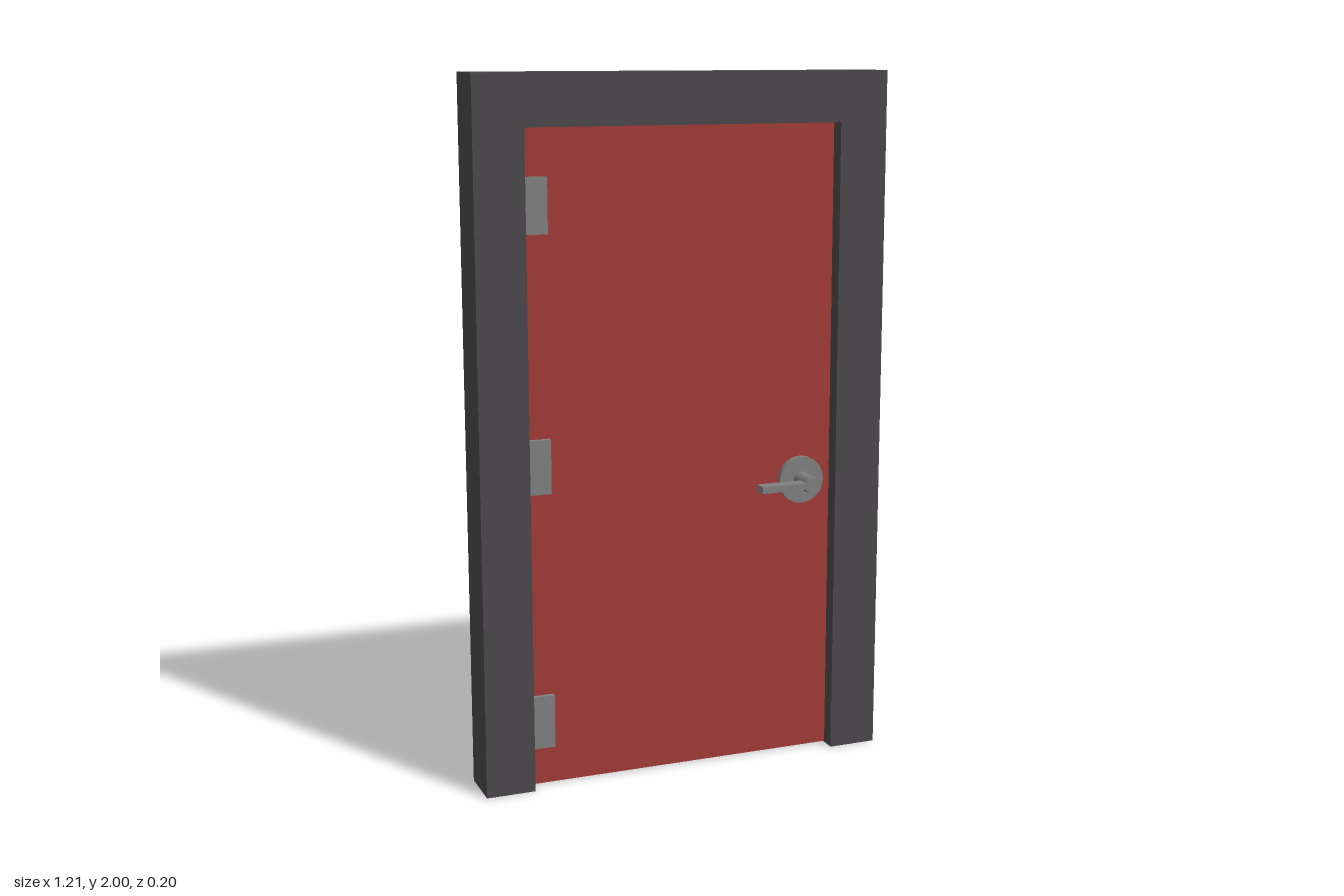
import * as THREE from 'three';

export function createModel() {
  const model = new THREE.Group();
  model.name = 'door';
  const frameMat = new THREE.MeshStandardMaterial({ color: 0x4a484a });
  const doorMat = new THREE.MeshStandardMaterial({ color: 0xa03a36 });
  const metalMat = new THREE.MeshStandardMaterial({ color: 0x808080 });

  const add = (name, geometry, material, x, y, z, parent = model) => {
    const mesh = new THREE.Mesh(geometry, material);
    mesh.name = name;
    mesh.position.set(x, y, z);
    parent.add(mesh);
    return mesh;
  };

  // Frame: one upside-down U, open at the floor
  const outline = new THREE.Shape([
    [-0.605, 0], [-0.463, 0], [-0.463, 1.857], [0.463, 1.857],
    [0.463, 0], [0.605, 0], [0.605, 2], [-0.605, 2],
  ].map(([x, y]) => new THREE.Vector2(x, y)));
  add('frame', new THREE.ExtrudeGeometry(outline, { depth: 0.142, bevelEnabled: false }),
    frameMat, 0, 0, -0.1);

  // Door leaf, set back from both faces of the frame
  add('doorPanel', new THREE.BoxGeometry(0.926, 1.854, 0.055), doorMat, 0, 0.93, -0.03);

  // Hinge plates
  for (const y of [0.19, 0.93, 1.648]) {
    add('hinge', new THREE.BoxGeometry(0.07, 0.154, 0.02), metalMat, -0.428, y, 0.002);
  }

  // Lever handle: round rose, spindle and flat lever
  const handle = new THREE.Group();
  handle.name = 'handle';
  handle.position.set(0.368, 0.828, 0);
  model.add(handle);
  const disc = (name, radius, z0, z1) => {
    const geometry = new THREE.CylinderGeometry(radius, radius, z1 - z0, 32).rotateX(Math.PI / 2);
    add(name, geometry, metalMat, 0, 0, (z0 + z1) / 2, handle);
  };
  disc('rose', 0.069, -0.01, 0.014);
  disc('spindle', 0.025, 0, 0.096);
  add('lever', new THREE.BoxGeometry(0.16, 0.02, 0.038), metalMat, -0.08, 0, 0.077, handle);

  return model;
}
